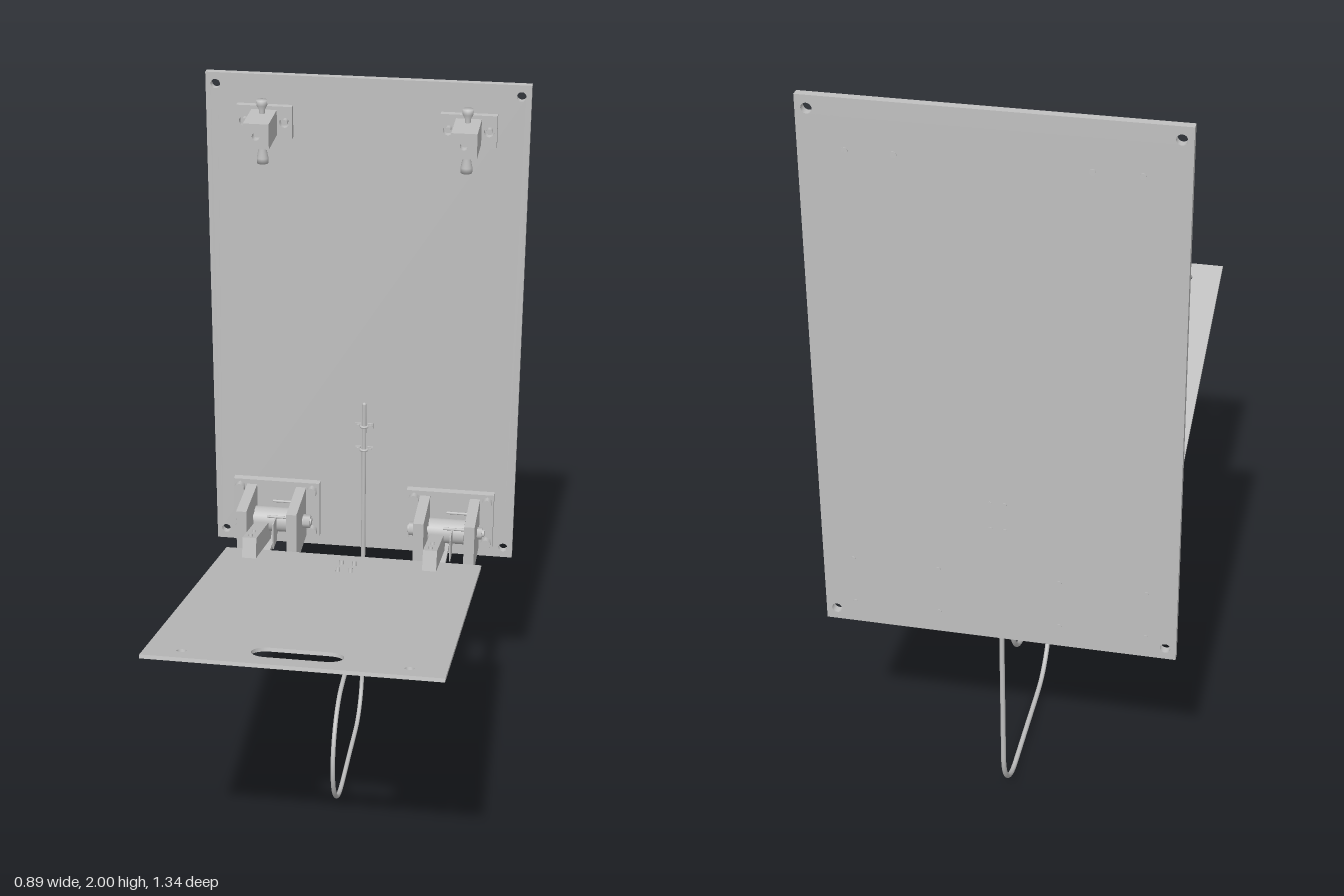
import * as THREE from 'three';

const steel = new THREE.MeshStandardMaterial({ color: 0xc0c0c0 });
steel.name = 'light grey steel';

function add(parent, name, geo, x = 0, y = 0, z = 0) {
  const m = new THREE.Mesh(geo, steel);
  m.name = name;
  m.position.set(x, y, z);
  parent.add(m);
  return m;
}

// Box given by its minimum and maximum corners
function box(parent, name, x0, x1, y0, y1, z0, z1) {
  return add(parent, name, new THREE.BoxGeometry(x1 - x0, y1 - y0, z1 - z0),
    (x0 + x1) / 2, (y0 + y1) / 2, (z0 + z1) / 2);
}

// Cylinder along a chosen axis, centred on x, y, z
function rod(parent, name, axis, r, len, x, y, z, sides = 20) {
  const g = new THREE.CylinderGeometry(r, r, len, sides);
  if (axis === 'x') g.rotateZ(Math.PI / 2);
  if (axis === 'z') g.rotateX(Math.PI / 2);
  return add(parent, name, g, x, y, z);
}

function rectShape(x0, x1, y0, y1) {
  return new THREE.Shape([[x0, y0], [x1, y0], [x1, y1], [x0, y1]].map(p => new THREE.Vector2(...p)));
}

function roundHole(shape, x, y, r) {
  shape.holes.push(new THREE.Path().absarc(x, y, r, 0, Math.PI * 2, true));
}

const extrude = (shape, depth) =>
  new THREE.ExtrudeGeometry(shape, { depth, bevelEnabled: false, curveSegments: 16 });

// Saddle clip over the cable: arch in the local xy plane with two screwed feet
function cableClip(parent, name, place) {
  const clip = new THREE.Group();
  clip.name = name;
  add(clip, 'clipArch', new THREE.TorusGeometry(0.01, 0.004, 8, 14, Math.PI));
  for (const s of [-1, 1]) {
    box(clip, 'clipFoot', s * 0.018 - 0.008, s * 0.018 + 0.008, -0.006, 0, -0.008, 0.008);
    rod(clip, 'clipScrew', 'y', 0.006, 0.034, s * 0.018, -0.012, 0, 12);
  }
  place(clip);
  parent.add(clip);
}

// Upper latch: wall flange, square block and a pull pin with flared ends
function latch(x) {
  const g = new THREE.Group();
  g.name = 'latch';
  const flange = rectShape(-0.077, 0.077, -0.045, 0.045);
  for (const s of [-1, 1]) roundHole(flange, s * 0.056, 0, 0.014);
  add(g, 'latchFlange', extrude(flange, 0.02), 0, 0, -0.645);
  for (const s of [-1, 1]) rod(g, 'latchScrew', 'z', 0.008, 0.044, s * 0.056, 0, -0.647, 12);
  const front = rectShape(-0.035, 0.035, -0.035, 0.035);
  roundHole(front, 0, 0, 0.011);
  add(g, 'latchBlock', extrude(front, 0.13), 0, 0, -0.625);
  rod(g, 'latchBore', 'z', 0.011, 0.1, 0, 0, -0.57);
  const profile = [[0, -0.105], [0.016, -0.105], [0.016, -0.09], [0.008, -0.05], [0.008, 0.045],
    [0.015, 0.058], [0.015, 0.072], [0, 0.072]].map(p => new THREE.Vector2(...p));
  add(g, 'pullPin', new THREE.LatheGeometry(profile, 20), 0, 0, -0.592);
  g.position.set(x, 1.873, 0);
  return g;
}

// Lower hinge bracket; side is +1 on the model's left
function bracket(side) {
  const g = new THREE.Group();
  g.name = 'hingeBracket';
  const span = (name, a, b, ...r) =>
    box(g, name, Math.min(a * side, b * side), Math.max(a * side, b * side), ...r);
  span('basePlate', 0.13, 0.387, 0.6, 0.775, -0.645, -0.622);
  span('outerCheek', 0.317, 0.347, 0.6, 0.76, -0.622, -0.443);
  span('innerCheek', 0.17, 0.2, 0.6, 0.76, -0.622, -0.443);
  for (const x of [0.152, 0.368]) for (const y of [0.62, 0.752]) {
    rod(g, 'baseBolt', 'z', 0.016, 0.02, side * x, y, -0.612, 6);
    rod(g, 'baseBoltEnd', 'z', 0.006, 0.03, side * x, y, -0.654, 12);
  }
  // Axle with hex head and nut
  const py = 0.685, pz = -0.553;
  rod(g, 'axle', 'x', 0.011, 0.225, side * 0.255, py, pz);
  rod(g, 'axleHead', 'x', 0.02, 0.022, side * 0.157, py, pz, 6);
  rod(g, 'axleNut', 'x', 0.018, 0.014, side * 0.354, py, pz, 6);
  rod(g, 'hub', 'x', 0.036, 0.105, side * 0.258, py, pz, 28);
  // Spring legs and lower stop
  const mid = side > 0 ? 0.232 : -0.286;
  rod(g, 'springLeg', 'x', 0.004, 0.07, mid + 0.055, 0.72, -0.6, 8);
  rod(g, 'springLeg', 'x', 0.004, 0.07, mid + 0.055, 0.72, -0.5, 8);
  box(g, 'springTab', mid + 0.043, mid + 0.047, 0.64, 0.72, -0.505, -0.45);
  box(g, 'stopPlate', mid - 0.03, mid + 0.03, 0.605, 0.618, -0.622, -0.445);
  rod(g, 'stopBolt', 'y', 0.015, 0.015, mid, 0.598, -0.465, 6);
  return g;
}

export function createModel() {
  const model = new THREE.Group();
  model.name = 'foldingWallPanel';

  // Wall board with mounting holes in the corners
  const wall = rectShape(-0.445, 0.445, 0.56, 2);
  for (const x of [-0.418, 0.418]) for (const y of [0.592, 1.968]) roundHole(wall, x, y, 0.013);
  add(model, 'wallBoard', extrude(wall, 0.021), 0, 0, -0.667);

  model.add(latch(-0.28), latch(0.28), bracket(-1), bracket(1));

  // Fold-down panel, tilted up towards the front
  const tilt = Math.PI / 12;
  const flap = new THREE.Group();
  flap.name = 'foldingPanel';
  flap.position.set(0, 0.655, -0.415);
  flap.rotation.x = -tilt;
  model.add(flap);
  const board = rectShape(-0.372, 0.372, 0, 1.12);
  for (const s of [-1, 1]) roundHole(board, s * 0.28, 1.061, 0.012);
  const slot = new THREE.Path();
  slot.absarc(-0.074, 1.02, 0.041, Math.PI * 1.5, Math.PI / 2, true);
  slot.absarc(0.074, 1.02, 0.041, Math.PI / 2, -Math.PI / 2, true);
  slot.closePath();
  board.holes.push(slot);
  add(flap, 'panelBoard', extrude(board, 0.01).rotateX(Math.PI / 2));

  // Hinge arms bolted through the panel
  for (const x of [-0.286, 0.232]) {
    box(flap, 'hingeArm', x - 0.02, x + 0.02, 0, 0.06, -0.15, 0.11);
    for (const s of [0.037, 0.09]) {
      rod(flap, 'armScrew', 'y', 0.006, 0.09, x, 0.022, s, 12);
      rod(flap, 'armNut', 'y', 0.014, 0.012, x, -0.016, s, 6);
    }
  }

  // Cable: down the wall, around the floor loop, then up under the panel
  const r = 0.0065;
  const pts = [];
  const arc = (cz, cy, rad, a0, a1) => {
    for (let i = 0; i <= 14; i++) {
      const a = a0 + (a1 - a0) * i / 14;
      pts.push(new THREE.Vector3(0, cy + rad * Math.sin(a), cz + rad * Math.cos(a)));
    }
  };
  const P = Math.PI;
  for (let i = 0; i < 8; i++) pts.push(new THREE.Vector3(0, 1.035 - i * 0.11, -0.638));
  arc(-0.5, 0.1445, 0.138, P, P * 1.5);
  pts.push(new THREE.Vector3(0, r, -0.35));
  arc(-0.19, 0.1795, 0.173, -P / 2, P / 2);
  pts.push(new THREE.Vector3(0, 0.3525, -0.28));
  arc(-0.38, 0.4895, 0.137, -P / 2, -P * 1.5 + tilt);
  const end = pts[pts.length - 1];
  for (const d of [0.09, 0.18, 0.27]) {
    pts.push(new THREE.Vector3(0, end.y + d * Math.sin(tilt), end.z + d * Math.cos(tilt)));
  }
  add(model, 'cable', new THREE.TubeGeometry(new THREE.CatmullRomCurve3(pts, false, 'centripetal'), 240, r, 10));
  for (const p of [pts[0], pts[pts.length - 1]]) add(model, 'cableEnd', new THREE.SphereGeometry(r, 10, 8), p.x, p.y, p.z);

  // Cable clips on the wall and under the panel
  for (const y of [0.965, 0.89]) {
    cableClip(model, 'wallClip', c => { c.position.set(0, y, -0.64); c.rotation.x = P / 2; });
  }
  for (const s of [0.109, 0.187]) {
    cableClip(flap, 'panelClip', c => { c.position.set(0, -0.016, s); c.rotation.z = P; });
  }
  return model;
}
